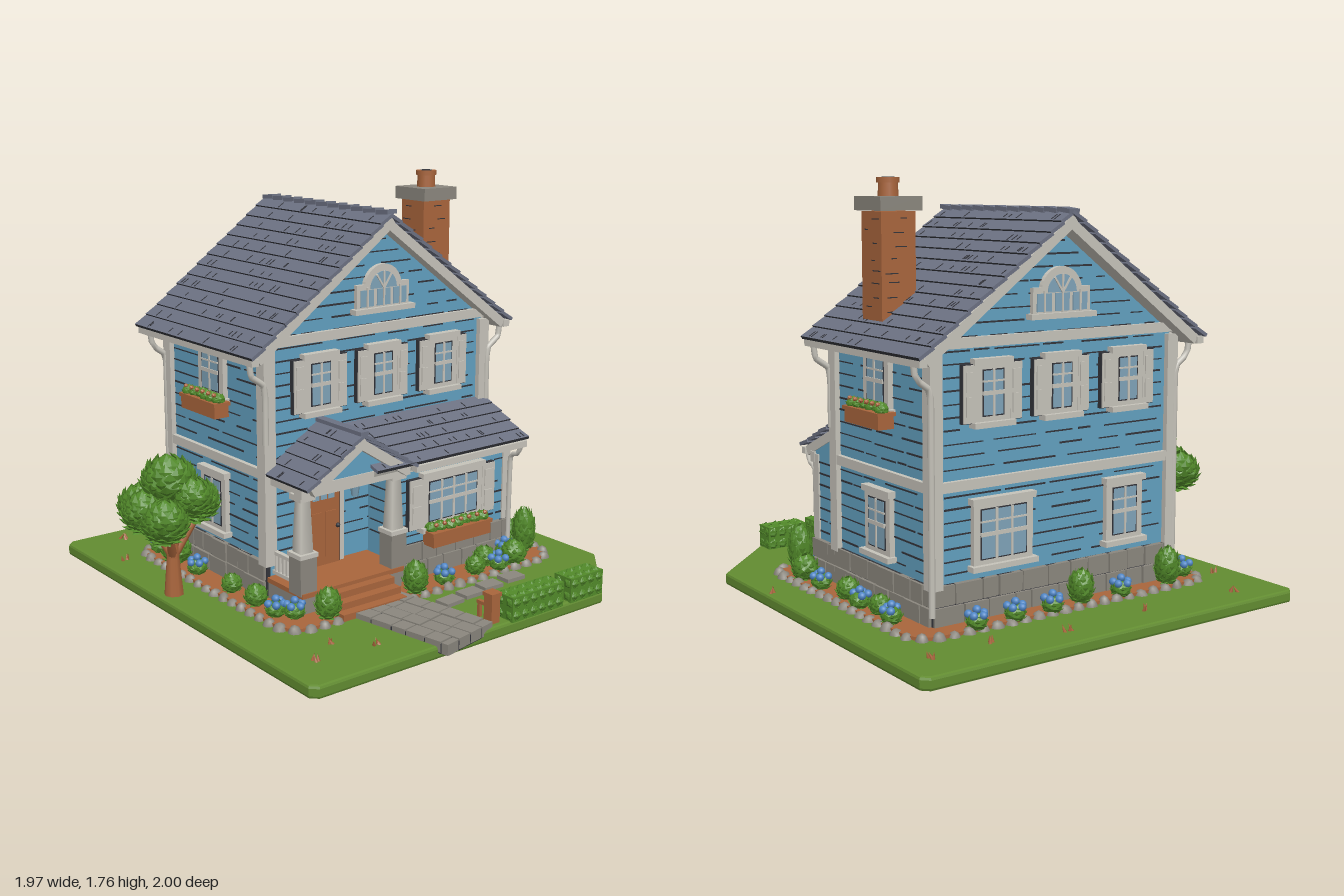
import * as THREE from 'three';
import { mergeGeometries } from 'three/addons/utils/BufferGeometryUtils.js';

const M = {};
for (const [name, color] of Object.entries({
  siding: 0x62a0c0, slate: 0x6c7182, trim: 0xc6c3ba, lawn: 0x628c31, leaf: 0x528a2a,
  wood: 0xa9653c, stone: 0x8b877e, ink: 0x33343a, glass: 0x7fa3b8, flower: 0x4f86c6,
})) { M[name] = new THREE.MeshStandardMaterial({ color }); M[name].name = name; }

let seed = 7;
const rnd = (a = 0, b = 1) => { seed = (seed * 16807) % 2147483647; return a + (b - a) * (seed / 2147483647); };

function add(parent, name, geo, mat, x = 0, y = 0, z = 0) {
  const m = new THREE.Mesh(geo, mat);
  m.name = name; m.position.set(x, y, z); parent.add(m);
  return m;
}
const box = (p, name, mat, w, h, d, x, y, z) => add(p, name, new THREE.BoxGeometry(w, h, d), mat, x, y, z);
function group(parent, name, x = 0, y = 0, z = 0, ry = 0) {
  const g = new THREE.Group();
  g.name = name; g.position.set(x, y, z); g.rotation.y = ry; parent.add(g);
  return g;
}
const poly = pts => new THREE.Shape(pts.map(p => new THREE.Vector2(...p)));
const extrude = (shape, depth, bevel = 0) => new THREE.ExtrudeGeometry(shape, {
  depth, bevelEnabled: bevel > 0, bevelSize: bevel, bevelThickness: bevel, bevelOffset: -bevel, bevelSegments: 2, curveSegments: 10 });

// Bumpy leafy ball: displaced core with overlapping leaf chips
function foliage(parent, name, x, y, z, r, sy = 1, leaves = 70, sx = 1, sz = 1) {
  const core = new THREE.IcosahedronGeometry(r * 0.92, 2), p = core.attributes.position, v = new THREE.Vector3();
  for (let i = 0; i < p.count; i++) {
    v.fromBufferAttribute(p, i);
    v.multiplyScalar(1 + 0.07 * Math.sin(v.x * 9 / r + x * 30) * Math.cos(v.y * 7 / r) + 0.05 * Math.sin(v.z * 8 / r));
    p.setXYZ(i, v.x, v.y, v.z);
  }
  core.computeVertexNormals();
  const parts = [core];
  for (let i = 0; i < leaves; i++) {
    const h = 1 - 2 * (i + 0.5) / leaves, a = i * 2.39996, s = Math.sqrt(1 - h * h);
    const dir = new THREE.Vector3(s * Math.cos(a), h, s * Math.sin(a));
    const leaf = new THREE.OctahedronGeometry(r * rnd(0.18, 0.28)).scale(1, 1.3, 0.35).rotateX(0.5);
    leaf.lookAt(dir).translate(dir.x * r * 0.92, dir.y * r * 0.92, dir.z * r * 0.92);
    parts.push(leaf);
  }
  return add(parent, name, mergeGeometries(parts).scale(sx, sy, sz), M.leaf, x, y, z);
}

// One roof slope, local +z runs downhill; lower edge of every course is dark
function slope(parent, name, width, length, angle, rows) {
  const g = group(parent, name); g.rotation.x = angle;
  box(g, 'roofDeck', M.trim, width - 0.03, 0.04, length - 0.02, 0, -0.035, length / 2 - 0.01);
  const pitch = length / rows;
  for (let i = 0; i < rows; i++) {
    const c = box(g, 'shingleCourse', [M.slate, M.slate, M.slate, M.slate, M.ink, M.slate],
      width + rnd(-0.012, 0.006), 0.014, pitch * 1.12, 0, 0, (i + 0.5) * pitch);
    c.rotation.x = -0.1;
    for (let k = 0; k < width * 7; k++)
      box(c, 'shingleJoint', M.ink, 0.004, 0.003, pitch * rnd(0.3, 0.6), rnd(-0.48, 0.48) * width, 0.0075, pitch * 0.2);
  }
  return g;
}

// Broken dark lap lines; halfWidth(y) gives the wall extent
function laps(wall, y0, y1, halfWidth) {
  for (let y = y0; y < y1; y += 0.05) {
    const hw = halfWidth(y);
    for (let x = -hw; x < hw - 0.03;) {
      const w = Math.min(rnd(0.06, 0.3), hw - x);
      box(wall, 'lapLine', M.ink, w, rnd(0.004, 0.008), 0.004, x + w / 2, y + rnd(-0.002, 0.002), 0.001);
      x += w + rnd(0.01, 0.1);
    }
  }
}

// Two staggered rows of foundation stones
function foundation(wall, hw, y0 = 0.07) {
  box(wall, 'mortar', M.ink, hw * 2, 0.165, 0.02, 0, y0 + 0.0825, 0);
  for (let r = 0; r < 2; r++) for (let x = -hw; x < hw - 0.01;) {
    let w = rnd(0.07, 0.14); if (x + w > hw - 0.04) w = hw - x;
    box(wall, 'foundationStone', M.stone, w - 0.006, 0.078, 0.03, x + w / 2, y0 + 0.042 + r * 0.084, rnd(0.004, 0.01));
    x += w;
  }
}

function planter(wall, x, y, w) {
  const g = group(wall, 'planter', x, y, 0.055);
  box(g, 'planterBox', M.wood, w, 0.06, 0.07, 0, 0, 0);
  box(g, 'planterRim', M.wood, w + 0.015, 0.015, 0.08, 0, 0.028, 0);
  const n = Math.round(w / 0.045);
  for (let i = 0; i < n; i++) {
    const px = (i + 0.5) / n * w - w / 2;
    foliage(g, 'planterLeaves', px, 0.045, rnd(-0.01, 0.01), 0.03, 0.9, 14);
    add(g, 'planterBloom', new THREE.IcosahedronGeometry(0.011), M.wood, px, 0.066, 0.022);
  }
}

// Sash window centred at x, y: w and h measure the glass
function windowAt(wall, x, y, w, h, { shutters = 0, box: hasBox = false, cols = 2 } = {}) {
  const g = group(wall, 'window', x, y, 0);
  box(g, 'windowFrame', M.trim, w + 0.06, h + 0.06, 0.03, 0, 0, 0.008);
  box(g, 'windowHead', M.trim, w + 0.08, 0.025, 0.045, 0, h / 2 + 0.03, 0.012);
  box(g, 'windowSill', M.trim, w + 0.09, 0.022, 0.055, 0, -h / 2 - 0.03, 0.016);
  box(g, 'glassEdge', M.ink, w, h, 0.004, 0, 0, 0.024);
  box(g, 'glass', M.glass, w - 0.01, h - 0.01, 0.004, 0, 0, 0.0255);
  for (let i = 1; i < cols; i++) box(g, 'muntin', M.trim, 0.01, h, 0.006, (i / cols - 0.5) * w, 0, 0.028);
  box(g, 'meetingRail', M.trim, w, 0.016, 0.008, 0, 0, 0.028);
  box(g, 'upperMuntin', M.trim, w, 0.007, 0.006, 0, h / 4, 0.028);
  if (shutters) for (const s of [-1, 1]) {
    const sx = s * (w / 2 + 0.03 + shutters / 2);
    box(g, 'shutterEdge', M.ink, shutters + 0.006, h + 0.046, 0.02, sx, 0, 0.01);
    box(g, 'shutter', M.trim, shutters, h + 0.04, 0.03, sx, 0, 0.01);
    for (const t of [-1, 1]) box(g, 'shutterPanel', M.trim, shutters * 0.65, h * 0.42, 0.008, sx, t * h * 0.26, 0.026);
  }
  if (hasBox) planter(wall, x, y - h / 2 - 0.06, w + 0.13);
}

function archWindow(wall, y) {
  const g = group(wall, 'archWindow', 0, y, 0);
  const arch = (r, name, mat, d) => add(g, name, extrude(new THREE.Shape().absarc(0, 0, r, 0, Math.PI), d), mat, 0, 0.08, 0);
  box(g, 'archBase', M.trim, 0.28, 0.11, 0.04, 0, 0.045, 0);
  arch(0.1, 'archTrim', M.trim, 0.02); arch(0.07, 'archGlass', M.glass, 0.024);
  for (const s of [-1, 0, 1]) box(g, 'archPane', M.glass, 0.07, 0.07, 0.008, s * 0.088, 0.042, 0.02);
  for (const s of [-1, 0, 1]) box(g, 'archMuntin', M.trim, 0.008, 0.085, 0.006, s * 0.088, 0.045, 0.025);
  for (const a of [-0.6, 0, 0.6]) {
    const bar = box(g, 'archSpoke', M.trim, 0.008, 0.07, 0.006, -Math.sin(a) * 0.035, 0.08 + Math.cos(a) * 0.035, 0.025);
    bar.rotation.z = a;
  }
  box(g, 'archSill', M.trim, 0.32, 0.022, 0.06, 0, -0.01, 0.01);
}

function buildHouse(root) {
  const house = group(root, 'house'), cx = -0.195, cz = -0.1;
  const body = extrude(poly([[-0.59, 0.06], [0.59, 0.06], [0.59, 1.14], [0, 1.575], [-0.59, 1.14]]), 0.73).rotateY(Math.PI / 2);
  add(house, 'houseBody', body, M.siding, -0.56, 0, cz);
  const front = group(house, 'frontWall', cx, 0, 0.49), back = group(house, 'backWall', cx, 0, -0.69, Math.PI);
  const right = group(house, 'porchWall', 0.17, 0, cz, Math.PI / 2), left = group(house, 'gardenWall', -0.56, 0, cz, -Math.PI / 2);
  for (const w of [front, back]) {
    laps(w, 0.27, 1.08, () => 0.33); foundation(w, 0.37);
    box(w, 'floorBand', M.trim, 0.74, 0.04, 0.03, 0, 0.61, 0.005);
    box(w, 'frieze', M.trim, 0.74, 0.05, 0.03, 0, 1.1, 0.005);
    windowAt(w, -0.005, 0.98, 0.13, 0.17, { box: true });
    windowAt(w, -0.005, 0.41, 0.13, 0.2);
  }
  for (const w of [right, left]) {
    laps(w, 0.27, 1.55, y => y < 1.15 ? 0.54 : Math.max(0, (1.54 - y) / 0.743));
    box(w, 'gableBand', M.trim, 1.2, 0.04, 0.03, 0, 1.15, 0.005);
    for (const x of [-0.33, 0, 0.34]) windowAt(w, x, 0.955, 0.1, 0.18, { shutters: 0.055 });
    archWindow(w, 1.24);
  }
  foundation(left, 0.6);
  box(left, 'floorBand', M.trim, 1.19, 0.04, 0.03, 0, 0.61, 0.005);
  windowAt(left, -0.28, 0.41, 0.22, 0.2, { cols: 3 }); windowAt(left, 0.33, 0.41, 0.13, 0.2);
  for (const x of [-0.555, 0.165]) for (const z of [-0.685, 0.485])
    box(house, 'cornerBoard', M.trim, 0.055, 0.9, 0.055, x, 0.67, z);

  // Main roof with ridge tiles, gutters and downspouts
  const roof = group(house, 'mainRoof', -0.205, 1.63, cz);
  for (const ry of [0, Math.PI]) slope(group(roof, 'roofSide', 0, 0, 0, ry), 'roofSlope', 0.9, 0.87, 0.637, 13);
  for (let i = 0; i < 11; i++) {
    const cap = box(roof, 'ridgeTile', M.slate, 0.078, 0.018, 0.05, -0.41 + i * 0.082, 0.006, 0);
    cap.rotation.z = 0.1;
  }
  for (const s of [-1, 1]) {
    box(house, 'gutter', M.trim, 0.88, 0.03, 0.035, -0.205, 1.095, cz + s * 0.68);
    for (const [x, y] of [[-0.575, 0.12], [0.19, 0.74]]) {
      const path = new THREE.CatmullRomCurve3([[1.09, 0.68], [1.03, 0.67], [0.99, 0.615], [0.93, 0.605], [y, 0.605]]
        .map(([py, pz]) => new THREE.Vector3(x, py, cz + s * pz)), false, 'catmullrom', 0.2);
      add(house, 'downspout', new THREE.TubeGeometry(path, 24, 0.013, 8), M.trim);
    }
  }

  // Chimney
  const ch = group(house, 'chimney', -0.13, 0, -0.61);
  box(ch, 'chimneyShaft', M.wood, 0.15, 0.46, 0.155, 0, 1.4, 0);
  for (let y = 1.25; y < 1.62; y += 0.05) for (let k = 0; k < 4; k++) {
    const f = group(ch, 'brickFace', 0, y + rnd(-0.01, 0.01), 0, k * Math.PI / 2);
    box(f, 'brickJoint', M.ink, rnd(0.02, 0.06), 0.004, 0.004, rnd(-0.04, 0.04), 0, k % 2 ? 0.075 : 0.0775);
  }
  box(ch, 'chimneyCap', M.stone, 0.2, 0.055, 0.19, 0, 1.66, 0);
  add(ch, 'chimneyPot', new THREE.CylinderGeometry(0.038, 0.042, 0.07, 16), M.wood, 0, 1.715, 0);
  add(ch, 'potRim', new THREE.CylinderGeometry(0.046, 0.046, 0.02, 16), M.wood, 0, 1.75, 0);
  add(ch, 'potOpening', new THREE.CylinderGeometry(0.026, 0.026, 0.004, 16), M.ink, 0, 1.76, 0);

  buildPorch(house, right);
}

function buildPorch(house, wall) {
  const porch = group(house, 'porch');
  // Enclosed bay under the lean-to roof
  add(porch, 'bayRoom', extrude(poly([[0.16, 0.06], [0.36, 0.06], [0.36, 0.63], [0.16, 0.72]]), 0.65), M.siding, 0, 0, -0.69);
  const bay = group(porch, 'bayWall', 0.36, 0, -0.365, Math.PI / 2), end = group(porch, 'bayEnd', 0.265, 0, -0.69, Math.PI);
  const inner = group(porch, 'bayReturn', 0.265, 0, -0.04);
  laps(bay, 0.27, 0.58, () => 0.3); foundation(bay, 0.33);
  for (const w of [end, inner]) laps(w, 0.27, 0.6, () => 0.08);
  foundation(end, 0.1);
  windowAt(bay, -0.025, 0.41, 0.28, 0.18, { shutters: 0.075, cols: 4 });
  planter(bay, -0.025, 0.255, 0.33);
  box(porch, 'bayFascia', M.trim, 0.03, 0.045, 0.67, 0.37, 0.585, -0.365);
  box(porch, 'bayCorner', M.trim, 0.045, 0.5, 0.045, 0.345, 0.35, -0.675);
  // Open entry: deck, steps, tapered posts, beams
  box(porch, 'porchBase', M.stone, 0.25, 0.09, 0.52, 0.285, 0.11, 0.23);
  box(porch, 'porchDeck', M.wood, 0.26, 0.02, 0.53, 0.29, 0.16, 0.23);
  for (let i = 0; i < 3; i++) box(porch, 'step', M.wood, 0.05, 0.028, 0.33, 0.435 + i * 0.04, 0.14 - i * 0.03, 0.215);
  for (let i = 0; i < 3; i++) box(porch, 'stepRiser', M.stone, 0.04, 0.09 - i * 0.025, 0.31, 0.43 + i * 0.04, 0.085 - i * 0.017, 0.215);
  for (const z of [0.46, -0.01]) {
    box(porch, 'postPlinth', M.stone, 0.08, 0.16, 0.08, 0.375, 0.24, z);
    box(porch, 'plinthCap', M.trim, 0.09, 0.018, 0.09, 0.375, 0.325, z);
    const post = new THREE.CylinderGeometry(0.03, 0.043, 0.25, 4).rotateY(Math.PI / 4);
    add(porch, 'post', post, M.trim, 0.375, 0.45, z);
    box(porch, 'postCapital', M.trim, 0.075, 0.025, 0.075, 0.375, 0.565, z);
    box(porch, 'sideBeam', M.trim, 0.25, 0.05, 0.05, 0.285, 0.595, z);
  }
  box(porch, 'frontBeam', M.trim, 0.05, 0.05, 0.56, 0.4, 0.595, 0.22);
  for (const y of [0.19, 0.275]) box(porch, 'rail', M.trim, 0.16, 0.015, 0.02, 0.255, y, 0.46);
  for (let i = 0; i < 6; i++) box(porch, 'baluster', M.trim, 0.011, 0.08, 0.011, 0.19 + i * 0.026, 0.23, 0.46);
  // Entry gable and lean-to roof
  add(porch, 'entryGable', extrude(poly([[-0.25, 0.6], [0.25, 0.6], [0, 0.76]]), 0.24).rotateY(Math.PI / 2), M.siding, 0.18, 0, 0.22);
  const roof = group(porch, 'entryRoof', 0.315, 0.795, 0.22);
  for (const ry of [0, Math.PI]) slope(group(roof, 'entryRoofSide', 0, 0, 0, ry), 'entrySlope', 0.31, 0.335, 0.57, 5);
  box(roof, 'entryRidge', M.slate, 0.31, 0.016, 0.04, 0, 0.006, 0);
  const lean = group(porch, 'leanToRoof', 0.165, 0.76, -0.28, Math.PI / 2);
  slope(lean, 'leanToSlope', 0.86, 0.325, 0.43, 5);
  box(porch, 'porchGutter', M.trim, 0.03, 0.028, 0.64, 0.45, 0.6, -0.38);
  const spout = new THREE.CatmullRomCurve3([[0.45, 0.595], [0.43, 0.55], [0.385, 0.52], [0.38, 0.1]].map(([x, y]) => new THREE.Vector3(x, y, -0.68)), false, 'catmullrom', 0.2);
  add(porch, 'porchDownspout', new THREE.TubeGeometry(spout, 20, 0.011, 8), M.trim);
  // Door and lantern
  const d = group(wall, 'door', -0.325, 0.355, 0);
  box(d, 'doorFrame', M.trim, 0.23, 0.42, 0.03, 0, 0.005, 0.01);
  box(d, 'doorEdge', M.ink, 0.18, 0.38, 0.006, 0, -0.005, 0.024);
  box(d, 'doorLeaf', M.wood, 0.168, 0.37, 0.02, 0, -0.005, 0.022);
  for (const s of [-1, 0, 1]) box(d, 'doorPane', M.glass, 0.032, 0.05, 0.006, s * 0.04, 0.13, 0.032);
  for (const s of [-1, 1]) box(d, 'doorPanel', M.wood, 0.055, 0.2, 0.012, s * 0.037, -0.05, 0.03);
  add(d, 'doorKnob', new THREE.SphereGeometry(0.01, 10, 8), M.ink, 0.07, -0.02, 0.04);
  const l = group(wall, 'lantern', -0.16, 0.47, 0.035);
  box(l, 'lanternArm', M.ink, 0.012, 0.012, 0.05, 0, 0.04, -0.015);
  add(l, 'lanternGlass', new THREE.CylinderGeometry(0.022, 0.015, 0.05, 6), M.glass);
  add(l, 'lanternRoof', new THREE.ConeGeometry(0.03, 0.028, 6), M.ink, 0, 0.038, 0);
}

function buildGarden(root) {
  const g = group(root, 'garden');
  const lawn = poly([[-0.98, 0.97], [-0.95, 1], [0.62, 1], [0.95, 0.68], [0.94, -0.8], [0.91, -0.83], [-0.95, -0.83], [-0.98, -0.8]]);
  add(g, 'lawn', extrude(lawn, 0.03, 0.012).rotateX(-Math.PI / 2), M.lawn, 0, 0.024, 0);
  // Soil bed with a stone border
  const a = -0.67, b = 0.53, c = -0.63, d = 0.83, r = 0.13;
  const bed = new THREE.Shape().moveTo(a + r, c).lineTo(b - r, c).quadraticCurveTo(b, c, b, c + r).lineTo(b, d - r)
    .quadraticCurveTo(b, d, b - r, d).lineTo(a + r, d).quadraticCurveTo(a, d, a, d - r).lineTo(a, c + r).quadraticCurveTo(a, c, a + r, c);
  add(g, 'soilBed', extrude(bed, 0.03).rotateX(-Math.PI / 2), M.wood, 0, 0.05, 0);
  for (const p of bed.getSpacedPoints(78)) {
    if (p.x > 0.45 && p.y > -0.36 && p.y < -0.04) continue;
    const s = add(g, 'borderStone', new THREE.IcosahedronGeometry(1, 1), M.stone, p.x, 0.05, -p.y);
    s.scale.set(rnd(0.026, 0.034), rnd(0.04, 0.05), rnd(0.024, 0.032)); s.rotation.y = rnd(0, 3);
  }
  // Paved walk and stepping stones
  const walk = group(g, 'walk', 0.735, 0.06, 0.13, 0.19);
  box(walk, 'walkBed', M.ink, 0.46, 0.04, 0.29, 0, 0, 0);
  for (let i = 0; i < 4; i++) for (let x = -0.235; x < 0.23;) {
    let w = rnd(0.07, 0.12); if (x + w > 0.2) w = 0.235 - x;
    box(walk, 'paver', M.stone, w - 0.007, 0.045, 0.068, x + w / 2, 0.004 + rnd(0, 0.004), -0.112 + i * 0.075);
    x += w;
  }
  [[0.61, -0.48], [0.62, -0.34], [0.635, -0.215], [0.65, -0.09]].forEach(([x, z]) =>
    box(g, 'steppingStone', M.stone, 0.07, 0.025, 0.1, x, 0.07, z).rotation.y = rnd(-0.05, 0.1));
  // Hedges and gate post
  for (const [z, len] of [[-0.58, 0.21], [-0.295, 0.31]]) {
    const hedge = group(g, 'hedge', 0.905, 0.115, z);
    const n = Math.round(len / 0.05);
    box(hedge, 'hedgeCore', M.leaf, 0.095, 0.105, len - 0.02, 0, 0, 0);
    for (let i = 0; i < n; i++) for (const s of [-1, 1]) for (const t of [-1, 1])
      foliage(hedge, 'hedgeTuft', s * 0.025, t * 0.027, ((i + 0.5) / n - 0.5) * (len - 0.02), 0.033, 1, 16);
  }
  box(g, 'gatePost', M.wood, 0.045, 0.15, 0.045, 0.895, 0.115, -0.09);
  box(g, 'gatePostCap', M.wood, 0.055, 0.016, 0.055, 0.895, 0.185, -0.09);
  box(g, 'gateArm', M.wood, 0.07, 0.014, 0.016, 0.85, 0.13, -0.09);
  box(g, 'gateStake', M.wood, 0.014, 0.08, 0.014, 0.825, 0.095, -0.09);
  // Clipped cones, round shrubs, flowering shrubs
  for (const [x, z, h] of [[-0.64, 0.42, 0.17], [0.5, -0.03, 0.15], [0.42, -0.74, 0.22], [0.49, 0.42, 0.14], [-0.64, -0.04, 0.15]])
    foliage(g, 'coneShrub', x, 0.07 + h * 0.48, z, 0.055, h / 0.11, 60);
  for (const [x, z, s] of [[-0.42, 0.57, 0.068], [0.5, -0.6, 0.06], [0.44, -0.48, 0.05], [0.49, -0.38, 0.045], [0.3, -0.78, 0.06],
    [0.02, 0.57, 0.045], [0.2, 0.57, 0.05], [-0.3, -0.77, 0.045], [-0.05, -0.77, 0.05]]) foliage(g, 'roundShrub', x, 0.075 + s * 0.85, z, s, 1, 50);
  for (const [x, z] of [[-0.66, -0.56], [-0.66, -0.38], [-0.66, -0.2], [-0.65, 0.16], [-0.42, -0.79], [-0.18, -0.79], [0.14, -0.79], [0.4, -0.64],
    [0.51, -0.5], [0.49, -0.2], [0.34, 0.57], [0.4, 0.52], [-0.58, 0.56], [-0.25, 0.57]]) {
    foliage(g, 'flowerShrub', x, 0.105, z, 0.045, 0.85, 30);
    for (let i = 0; i < 5; i++) {
      const t = i * 1.256 + x * 9, q = i ? 0.032 : 0;
      add(g, 'blossom', new THREE.IcosahedronGeometry(0.017, 1), M.flower, x + Math.cos(t) * q, i ? 0.132 : 0.15, z + Math.sin(t) * q);
    }
  }
  // Small dry tufts in the grass
  for (const [x, z] of [[-0.82, -0.88], [-0.81, -0.59], [-0.86, -0.28], [-0.84, 0.13], [-0.85, 0.58], [-0.61, 0.73], [0.67, 0.54], [0.76, 0.68], [0.79, 0.42], [0.24, -0.97]])
    for (let i = 0; i < 3; i++) {
      const t = add(g, 'tuft', new THREE.ConeGeometry(0.009, 0.035, 5), M.wood, x + rnd(-0.015, 0.015), 0.078, z + rnd(-0.02, 0.02));
      t.rotation.set(rnd(-0.5, 0.5), 0, rnd(-0.5, 0.5));
    }
  // Tree
  const tree = group(g, 'tree', -0.13, 0, 0.76);
  const limb = (r0, r1, from, to) => {
    const p = new THREE.Vector3(...from), q = new THREE.Vector3(...to).sub(p);
    const m = add(tree, 'trunk', new THREE.CylinderGeometry(r1, r0, q.length(), 8), M.wood);
    m.position.copy(p).addScaledVector(q, 0.5);
    m.quaternion.setFromUnitVectors(new THREE.Vector3(0, 1, 0), q.normalize());
  };
  limb(0.042, 0.026, [0, 0.06, 0], [0, 0.24, 0]); limb(0.028, 0.022, [0, 0.23, 0], [0, 0.5, 0]);
  for (const [x, z] of [[-0.1, 0.08], [0.1, 0.08], [0.03, -0.12]]) limb(0.02, 0.014, [0, 0.23, 0], [x, 0.42, z]);
  for (const [x, y, z, s] of [[-0.115, 0.44, 0.08, 0.098], [0.115, 0.43, 0.1, 0.1], [0.02, 0.46, -0.1, 0.105], [0, 0.56, 0.01, 0.118],
    [0, 0.45, 0.13, 0.095], [-0.1, 0.5, -0.05, 0.09], [0.1, 0.5, -0.04, 0.09]]) foliage(tree, 'treeCrown', x, y, z, s, 0.92, 90);
}

export function createModel() {
  const root = new THREE.Group();
  root.name = 'cottage';
  buildHouse(root);
  buildGarden(root);
  return root;
}
